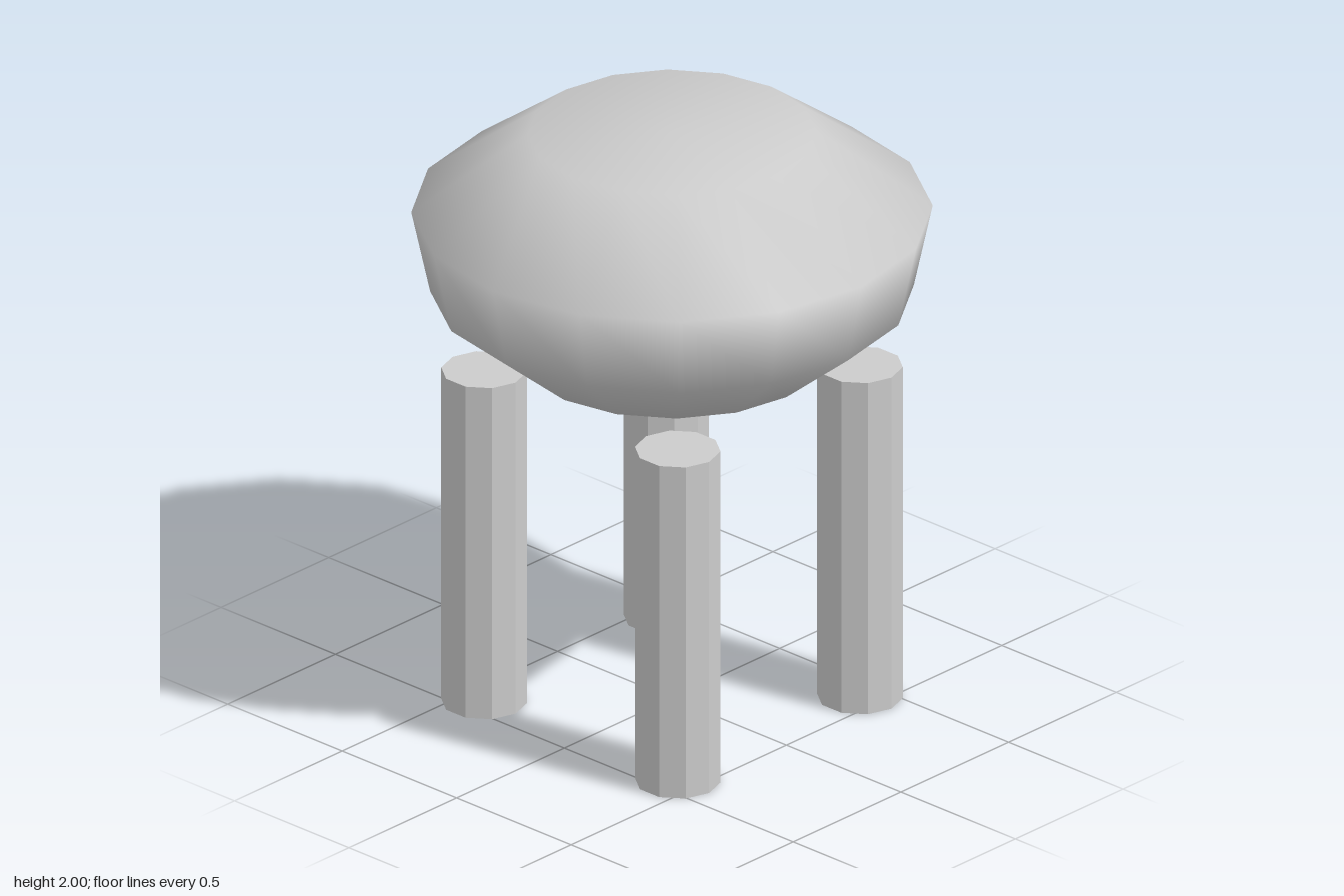
import * as THREE from 'three';

export function createModel() {
  const model = new THREE.Group();
  const smooth = new THREE.MeshStandardMaterial({ color: 0xcccccc });
  const faceted = new THREE.MeshStandardMaterial({ color: 0xcccccc, flatShading: true });

  // Cushion: smooth sixteen-sided body, closed at the bottom and top
  const profile = [[0, 1.23], [0.5, 1.23], [0.77, 1.45], [0.83, 1.73], [0.46, 2], [0, 2]]
    .map(([r, y]) => new THREE.Vector2(r, y));
  const cushion = new THREE.Mesh(new THREE.LatheGeometry(profile, 16), smooth);
  cushion.name = 'cushion';
  model.add(cushion);

  // Four ten-sided legs, ending just below the cushion
  const legHeight = 1.17;
  const legGeometry = new THREE.CylinderGeometry(0.1375, 0.1375, legHeight, 10);
  for (const [zName, z] of [['front', 1], ['back', -1]]) {
    for (const [xName, x] of [['Left', 1], ['Right', -1]]) {
      const leg = new THREE.Mesh(legGeometry, faceted);
      leg.name = `${zName}${xName}Leg`;
      leg.position.set(x * 0.423, legHeight / 2, z * 0.423);
      model.add(leg);
    }
  }
  return model;
}
